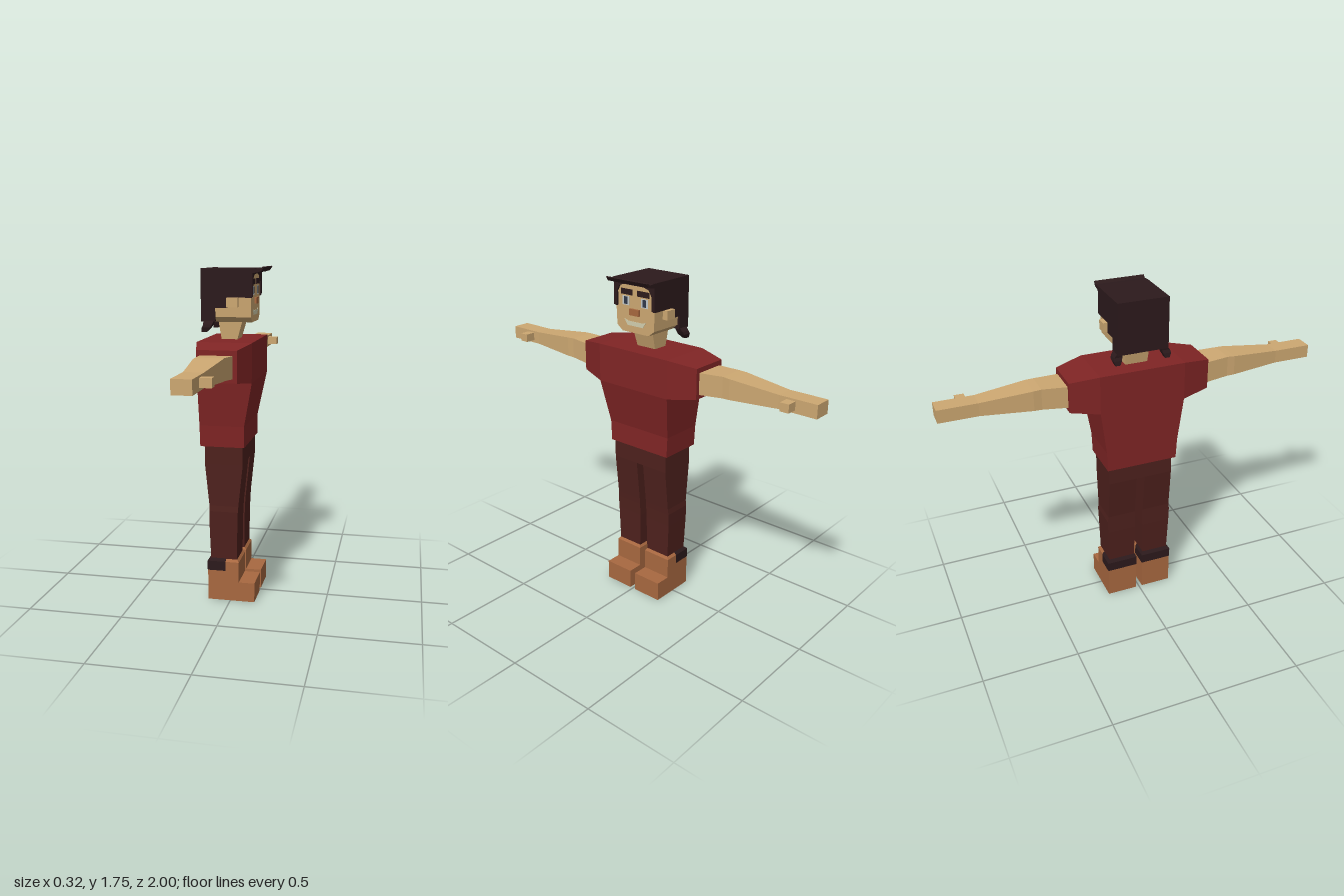
import * as THREE from 'three';

const mat = (color) => new THREE.MeshStandardMaterial({ color, flatShading: true });

// Loft of rectangles stacked along y: each section is [y, x0, x1, z0, z1]
function loft(sections) {
  const rings = sections.map(([y, x0, x1, z0, z1]) => [[x0, y, z1], [x1, y, z1], [x1, y, z0], [x0, y, z0]]);
  const pos = [];
  const quad = (a, b, c, d) => pos.push(...a, ...b, ...c, ...a, ...c, ...d);
  for (let i = 0; i < rings.length - 1; i++) {
    const p = rings[i], q = rings[i + 1];
    for (let k = 0; k < 4; k++) quad(p[k], p[(k + 1) % 4], q[(k + 1) % 4], q[k]);
  }
  const [a, b, c, d] = rings[0];
  quad(d, c, b, a);
  quad(...rings[rings.length - 1]);
  const g = new THREE.BufferGeometry();
  g.setAttribute('position', new THREE.Float32BufferAttribute(pos, 3));
  g.computeVertexNormals();
  return g;
}

const box = (x0, x1, y0, y1, z0, z1) =>
  new THREE.BoxGeometry(x1 - x0, y1 - y0, z1 - z0).translate((x0 + x1) / 2, (y0 + y1) / 2, (z0 + z1) / 2);

const shapeOf = (pts) => new THREE.Shape(pts.map(([x, y]) => new THREE.Vector2(x, y)));
const extrude = (shape, depth) => new THREE.ExtrudeGeometry(shape, { depth, bevelEnabled: false });

// Side profile (x, y) extruded between z0 and z1
const sideSlab = (pts, z0, z1) => extrude(shapeOf(pts), z1 - z0).translate(0, 0, z0);

// Front outline (z, y) extruded between x0 and x1
const frontSlab = (pts, x0, x1) => extrude(shapeOf(pts), x1 - x0).rotateY(Math.PI / 2).translate(x0, 0, 0);

// Half outline mirrored to a closed symmetric one
const mirrored = (half) => [...half, ...half.map(([z, y]) => [-z, y]).reverse()];

// Loft mirrored to the given side (s = 1 or -1 in z)
const sideLoft = (s, sections) =>
  loft(sections.map(([y, x0, x1, z0, z1]) => (s > 0 ? [y, x0, x1, z0, z1] : [y, x0, x1, -z1, -z0])));

// Loft running outwards along z: each section is [z, x0, x1, y0, y1]
const limb = (s, sections) =>
  loft(sections.map(([t, x0, x1, y0, y1]) => (s > 0 ? [t, x0, x1, -y1, -y0] : [t, x0, x1, y0, y1]))).rotateX((s * Math.PI) / 2);

const sideBox = (s, x0, x1, y0, y1, z0, z1) =>
  (s > 0 ? box(x0, x1, y0, y1, z0, z1) : box(x0, x1, y0, y1, -z1, -z0));

export function createModel() {
  const model = new THREE.Group();
  model.name = 'figure';
  const skin = mat(0xcda872), shirt = mat(0x802525), trousers = mat(0x4e211d), leather = mat(0xa86840);
  const hairMat = mat(0x2c1a1c), white = mat(0xc4cacb), pupil = mat(0x30384a), noseMat = mat(0xa8683f), teeth = mat(0xd2cfae);

  const group = (name) => {
    const g = new THREE.Group();
    g.name = name;
    model.add(g);
    return g;
  };
  const add = (parent, name, geometry, material) => {
    const m = new THREE.Mesh(geometry, material);
    m.name = name;
    parent.add(m);
  };

  // Torso and hips
  add(model, 'shirt', loft([
    [0.84, -0.155, 0.075, -0.19, 0.19], [0.95, -0.157, 0.075, -0.195, 0.195],
    [1.18, -0.16, 0.12, -0.225, 0.225], [1.38, -0.16, 0.12, -0.225, 0.225]]), shirt);
  add(model, 'hips', loft([[0.745, -0.135, 0.065, -0.175, 0.175], [0.85, -0.135, 0.065, -0.175, 0.175]]), trousers);

  // Limbs: the figure looks along +x, so its left is at -z
  for (const s of [-1, 1]) {
    const side = s < 0 ? 'left' : 'right';

    const arm = group(side + 'Arm');
    add(arm, 'sleeve', limb(s, [[0.225, -0.16, 0.12, 1.18, 1.38], [0.372, -0.125, 0.075, 1.2, 1.358]]), shirt);
    add(arm, 'armAndHand', limb(s, [
      [0.36, -0.108, 0.055, 1.22, 1.332], [0.5, -0.095, 0.04, 1.23, 1.338], [0.54, -0.097, 0.042, 1.232, 1.336],
      [0.8, -0.073, 0.02, 1.245, 1.313], [1, -0.073, 0.02, 1.245, 1.313]]), skin);
    add(arm, 'thumb', sideBox(s, 0.01, 0.075, 1.26, 1.303, 0.84, 0.887), skin);

    const leg = group(side + 'Leg');
    add(leg, 'trouserLeg', sideLoft(s, [
      [0.2, -0.105, 0.035, 0.027, 0.17], [0.42, -0.112, 0.037, 0.022, 0.178], [0.49, -0.112, 0.04, 0.022, 0.18],
      [0.52, -0.112, 0.042, 0.022, 0.176], [0.745, -0.135, 0.065, 0.022, 0.175]]), trousers);
    add(leg, 'boot', sideLoft(s, [
      [0, -0.12, 0.046, 0.018, 0.183], [0.215, -0.12, 0.046, 0.018, 0.183], [0.229, -0.105, 0.035, 0.027, 0.17]]), leather);
    add(leg, 'toe', sideBox(s, 0.04, 0.13, 0, 0.105, 0.018, 0.183), leather);
    add(leg, 'heelBand', sideLoft(s, [
      [0.165, -0.122, -0.025, 0.016, 0.185], [0.216, -0.122, -0.025, 0.016, 0.185], [0.23, -0.107, -0.025, 0.026, 0.172]]), hairMat);
  }

  // Neck and head
  const head = group('head');
  add(head, 'neck', loft([[1.37, -0.068, 0.01, -0.058, 0.058], [1.49, -0.087, 0.045, -0.066, 0.066]]), skin);
  add(head, 'skull', frontSlab(mirrored([[0.085, 1.47], [0.12, 1.497], [0.125, 1.6], [0.118, 1.72]]), -0.1, 0.095), skin);
  add(head, 'nose', box(0.09, 0.107, 1.56, 1.592, -0.03, 0.03), noseMat);
  add(head, 'mouth', frontSlab(mirrored([[0.05, 1.505], [0.07, 1.535], [0.045, 1.527]]), 0.09, 0.097), teeth);
  for (const s of [-1, 1]) {
    add(head, 'ear', sideBox(s, -0.024, 0.032, 1.548, 1.595, 0.12, 0.154), skin);
    add(head, 'eye', sideBox(s, 0.09, 0.097, 1.605, 1.65, 0.038, 0.083), white);
    add(head, 'pupil', sideBox(s, 0.09, 0.098, 1.61, 1.647, 0.049, 0.071), pupil);
    add(head, 'eyebrow', sideBox(s, 0.09, 0.099, 1.658, 1.686, 0.016, 0.091), hairMat);
  }

  // Hair: crown, back, stepped sides, arched fringe, upturned front and nape tufts
  const hair = group('hair');
  add(hair, 'crown', box(-0.16, 0.105, 1.71, 1.738, -0.132, 0.132), hairMat);
  add(hair, 'back', box(-0.16, -0.09, 1.475, 1.715, -0.132, 0.132), hairMat);
  const sidePanel = [[-0.16, 1.475], [-0.088, 1.475], [-0.088, 1.543], [-0.024, 1.543], [-0.024, 1.595], [0.1, 1.595], [0.105, 1.73], [-0.16, 1.73]];
  const fringe = shapeOf(mirrored([[0.112, 1.598], [0.112, 1.67], [0.095, 1.7], [0.05, 1.714], [0.02, 1.717]])
    .concat([[-0.132, 1.598], [-0.132, 1.738], [0.132, 1.738], [0.132, 1.598]]));
  add(hair, 'fringe', extrude(fringe, 0.014).rotateY(Math.PI / 2).translate(0.0905, 0, 0), hairMat);
  add(hair, 'upturnedFront', sideSlab([
    [0.09, 1.715], [0.125, 1.718], [0.148, 1.725], [0.16, 1.744], [0.155, 1.747], [0.138, 1.735], [0.09, 1.738]], -0.131, 0.131), hairMat);
  for (const s of [-1, 1]) {
    add(hair, 'sidePanel', s > 0 ? sideSlab(sidePanel, 0.115, 0.132) : sideSlab(sidePanel, -0.132, -0.115), hairMat);
    add(hair, 'napeTuft', sideLoft(s, [
      [1.422, -0.155, -0.13, 0.118, 0.142], [1.445, -0.152, -0.108, 0.108, 0.15],
      [1.46, -0.145, -0.1, 0.104, 0.146], [1.48, -0.148, -0.092, 0.1, 0.131]]), hairMat);
  }
  return model;
}
